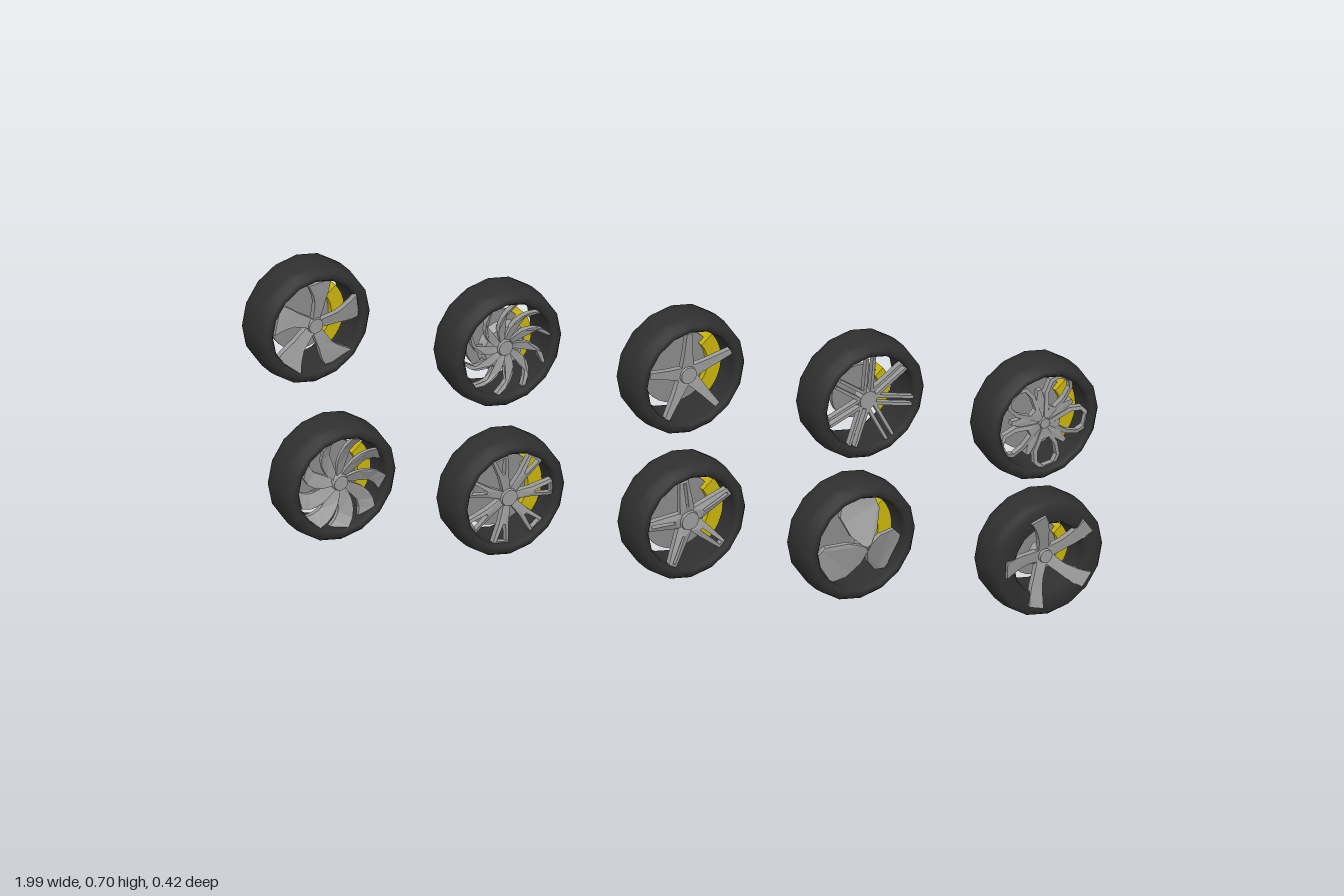
import * as THREE from 'three';

const mat = (name, color) => {
  const m = new THREE.MeshStandardMaterial({ color });
  m.name = name;
  return m;
};
const rubber = mat('tyre rubber', 0x303030);
const alloy = mat('rim alloy', 0x9c9c9c);
const steel = mat('rotor steel', 0x8b8b8b);
const yellow = mat('caliper yellow', 0xc9b30c);

function mesh(name, geometry, material, parent, z = 0) {
  const m = new THREE.Mesh(geometry, material);
  m.name = name;
  m.position.z = z;
  parent.add(m);
  return m;
}

// Disc whose axis is the wheel axis
function disc(name, rTop, rBottom, depth, z, material, parent, sides = 24) {
  return mesh(name, new THREE.CylinderGeometry(rTop, rBottom, depth, sides).rotateX(Math.PI / 2), material, parent, z);
}

// Outline through [radius, halfWidth] stations, subdivided along the radius
function outline(stations, Path = THREE.Shape) {
  const rows = [];
  stations.forEach(([r, w], i) => {
    const next = stations[i + 1];
    if (!next) return rows.push([r, w]);
    for (let k = 0; k < 3; k++) rows.push([r + (next[0] - r) * k / 3, w + (next[1] - w) * k / 3]);
  });
  const pts = rows.map(([r, w]) => new THREE.Vector2(r, -w));
  rows.reverse().forEach(([r, w]) => pts.push(new THREE.Vector2(r, w)));
  return new Path(pts);
}

// One spoke along +x: sweep curls it, rise dishes it, pitch tilts it like a fan blade
function spokeGeometry({ stations, hole, depth = 0.014, sweep = 0, z0 = 0.03, rise = 0, pitch = 0, crown = 0, offset = 0 }) {
  const shape = outline(stations);
  if (hole) shape.holes.push(outline(hole, THREE.Path));
  const g = new THREE.ExtrudeGeometry(shape, { depth, bevelEnabled: false });
  const p = g.attributes.position;
  const r0 = stations[0][0], r1 = stations[stations.length - 1][0];
  for (let i = 0; i < p.count; i++) {
    const x = p.getX(i), y = p.getY(i) + offset;
    const t = (x - r0) / (r1 - r0), a = sweep * t * t;
    const z = p.getZ(i) + z0 + rise * t + pitch * y - crown * Math.abs(y);
    p.setXYZ(i, x * Math.cos(a) - y * Math.sin(a), x * Math.sin(a) + y * Math.cos(a), z);
  }
  g.computeVertexNormals();
  return g;
}

function ringOfSpokes(parent, count, startDeg, options) {
  const g = spokeGeometry(options);
  for (let i = 0; i < count; i++) {
    mesh('spoke', g, alloy, parent).rotation.z = THREE.MathUtils.degToRad(startDeg) + i * 2 * Math.PI / count;
  }
}

// Tyre ring with rounded shoulders and an open centre
function tyre(parent, inner) {
  const half = [[inner, 0.045], [inner + 0.007, 0.054], [0.135, 0.054], [0.145, 0.042], [0.148, 0.02]];
  const pts = half.map(([r, z]) => new THREE.Vector2(r, -z));
  [...half].reverse().forEach(([r, z]) => pts.push(new THREE.Vector2(r, z)));
  pts.push(pts[0].clone());
  mesh('tyre', new THREE.LatheGeometry(pts, 16).rotateX(Math.PI / 2), rubber, parent);
}

// Brake disc and the caliper gripping its edge
function brake(parent, r) {
  disc('brakeRotor', r, r, 0.012, -0.02, steel, parent, 32);
  const s = new THREE.Shape();
  const a = -0.85, b = 0.68;
  s.absarc(0, 0, r * 1.2, a, b, false);
  s.absarc(0, 0, r * 0.8, b, a, true);
  mesh('brakeCaliper', new THREE.ExtrudeGeometry(s, { depth: 0.04, bevelEnabled: false, curveSegments: 8 }), yellow, parent, -0.04);
}

// Rim designs
const fiveBlades = g => {
  disc('hub', 0.018, 0.022, 0.02, 0.038, alloy, g);
  ringOfSpokes(g, 5, 5, { stations: [[0.012, 0.011], [0.06, 0.016], [0.112, 0.034]], z0: 0.028, rise: 0.008, pitch: 0.25, sweep: 0.15 });
};
const thinSwirl = g => {
  disc('hub', 0.05, 0.062, 0.016, 0.022, alloy, g);
  disc('hubCap', 0.018, 0.02, 0.012, 0.034, alloy, g);
  ringOfSpokes(g, 10, 0, { stations: [[0.02, 0.007], [0.07, 0.006], [0.113, 0.004]], z0: 0.02, rise: 0.012, sweep: -0.55, pitch: 0.3 });
};
const slimStar = g => {
  disc('hub', 0.02, 0.026, 0.02, 0.03, alloy, g);
  ringOfSpokes(g, 5, 92, { stations: [[0.01, 0.017], [0.06, 0.011], [0.113, 0.007]], z0: 0.026, rise: 0.012, crown: 0.4 });
};
const twinSpokes = g => {
  disc('hub', 0.022, 0.03, 0.02, 0.03, alloy, g);
  for (const offset of [-0.009, 0.009]) {
    ringOfSpokes(g, 7, 90, { stations: [[0.015, 0.004], [0.113, 0.0035]], z0: 0.024, rise: 0.014, offset });
  }
};
const petals = g => {
  disc('hub', 0.013, 0.015, 0.02, 0.042, alloy, g, 8);
  ringOfSpokes(g, 5, 60, {
    stations: [[0.012, 0.006], [0.066, 0.032], [0.1, 0.034], [0.12, 0.018]],
    hole: [[0.042, 0.009], [0.07, 0.023], [0.097, 0.025], [0.111, 0.013]], z0: 0.034, crown: 0.2,
  });
  ringOfSpokes(g, 5, 24, { stations: [[0.015, 0.004], [0.05, 0.012], [0.085, 0.005]], z0: 0.03, crown: 0.3 });
};
const turbine = g => {
  disc('hub', 0.018, 0.024, 0.02, 0.034, alloy, g);
  ringOfSpokes(g, 9, 10, { stations: [[0.014, 0.007], [0.06, 0.014], [0.112, 0.021]], z0: 0.024, rise: 0.01, sweep: -0.4, pitch: 0.45, depth: 0.01 });
};
const splitSpokes = g => {
  disc('hub', 0.02, 0.026, 0.02, 0.034, alloy, g);
  ringOfSpokes(g, 7, 0, {
    stations: [[0.014, 0.009], [0.06, 0.012], [0.113, 0.021]],
    hole: [[0.066, 0.003], [0.108, 0.013]], z0: 0.026, rise: 0.01, crown: 0.3,
  });
};
const doubleStar = g => {
  disc('hub', 0.022, 0.028, 0.02, 0.032, alloy, g);
  ringOfSpokes(g, 5, 100, {
    stations: [[0.012, 0.02], [0.06, 0.016], [0.114, 0.011]],
    hole: [[0.04, 0.003], [0.107, 0.004]], z0: 0.026, rise: 0.01, crown: 0.35,
  });
};
const threePaddles = g => {
  ringOfSpokes(g, 3, 90, { stations: [[0, 0.004], [0.03, 0.034], [0.075, 0.052], [0.108, 0.042]], z0: 0.067, rise: -0.036, crown: 0.25, depth: 0.012 });
  disc('noseCone', 0.004, 0.045, 0.026, 0.062, alloy, g, 3).rotation.z = Math.PI;
};
const curvedStar = g => {
  disc('hub', 0.016, 0.018, 0.014, 0.03, alloy, g);
  disc('hubBase', 0.03, 0.034, 0.016, 0.018, alloy, g);
  ringOfSpokes(g, 5, 98, { stations: [[0.01, 0.014], [0.05, 0.013], [0.118, 0.02]], z0: 0.014, rise: 0.034, sweep: 0.14 });
};

// x, y, z of the centre, rim design, rotor radius, tyre opening radius
const wheels = [
  [-0.866, 0.555, 0.075, fiveBlades, 0.085, 0.114],
  [-0.413, 0.555, 0.052, thinSwirl, 0.075, 0.114],
  [0.027, 0.555, 0.052, slimStar, 0.09, 0.114],
  [0.455, 0.555, 0.042, twinSpokes, 0.066, 0.114],
  [0.866, 0.555, 0.02, petals, 0.092, 0.116],
  [-0.807, 0.15, 0.065, turbine, 0.086, 0.114],
  [-0.417, 0.15, 0.017, splitSpokes, 0.092, 0.114],
  [0.013, 0.15, 0.001, doubleStar, 0.092, 0.114],
  [0.414, 0.15, -0.02, threePaddles, 0.09, 0.114],
  [0.846, 0.15, -0.077, curvedStar, 0.066, 0.09],
];

export function createModel() {
  const model = new THREE.Group();
  model.name = 'wheelSet';
  for (const [x, y, z, design, rotor, opening] of wheels) {
    const wheel = new THREE.Group();
    wheel.name = 'wheel';
    wheel.position.set(x, y, z);
    wheel.rotation.y = THREE.MathUtils.degToRad(48);
    tyre(wheel, opening);
    brake(wheel, rotor);
    const rim = new THREE.Group();
    rim.name = 'rim';
    design(rim);
    wheel.add(rim);
    model.add(wheel);
  }
  return model;
}
